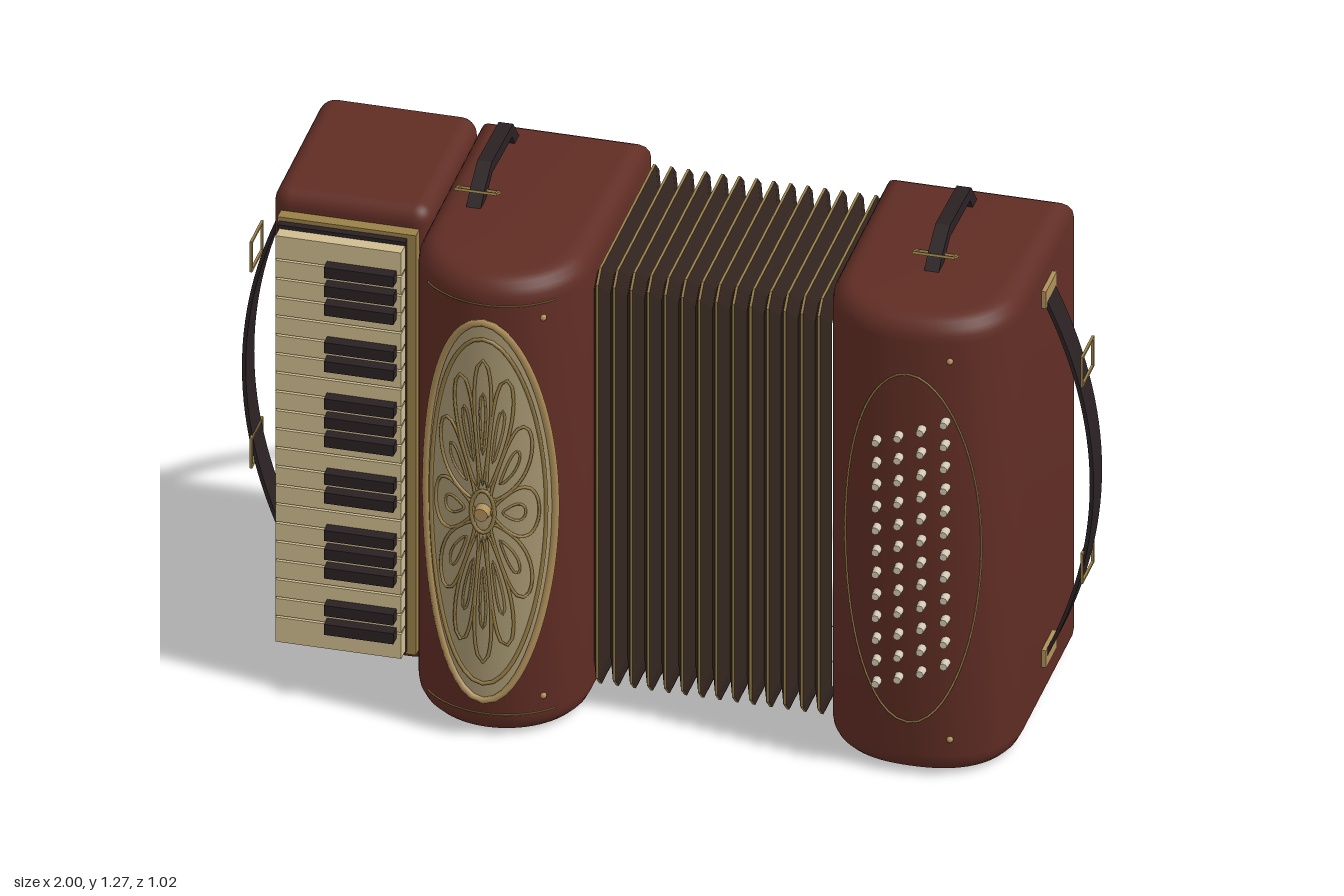
import * as THREE from 'three';
import { toCreasedNormals } from 'three/addons/utils/BufferGeometryUtils.js';
import { RoundedBoxGeometry } from 'three/addons/geometries/RoundedBoxGeometry.js';

const mat = (name, color, side = THREE.FrontSide) => {
  const m = new THREE.MeshStandardMaterial({ color, side });
  m.name = name;
  return m;
};

export function createModel() {
  const root = new THREE.Group();
  const wood = mat('redBrownCase', 0x602d24);
  const gold = mat('brass', 0x9a8048);
  const plate = mat('paleBrass', 0xb0905a);
  const cream = mat('cream', 0xd0bd90);
  const pearl = mat('pearl', 0xd2c8b4);
  const black = mat('blackLeather', 0x2a2123);
  const cloth = mat('bellowsCloth', 0x33251f);
  const mesh = (name, geo, m, x = 0, y = 0, z = 0, parent = root) => {
    const o = new THREE.Mesh(geo, m);
    o.name = name;
    o.position.set(x, y, z);
    parent.add(o);
    return o;
  };
  const group = (name) => {
    const g = new THREE.Group();
    g.name = name;
    root.add(g);
    return g;
  };
  const box = (w, h, d) => new THREE.BoxGeometry(w, h, d);

  // Cases with a bowed front: straight sides to z0, then a superellipse
  const treble = { x: -0.312, w: 0.2, z0: 0.28, d: 0.2, n: 2 };
  const bass = { x: 0.66, w: 0.22, z0: 0.195, d: 0.2, n: 2.3 };
  const front = (c, x) => {
    const u = Math.min(1, Math.abs((x - c.x) / c.w));
    return c.z0 + c.d * Math.pow(1 - Math.pow(u, c.n), 1 / c.n);
  };
  const caseGeometry = (c) => {
    const s = new THREE.Shape();
    s.moveTo(c.x - c.w, 0.235);
    s.lineTo(c.x + c.w, 0.235);
    for (let i = 0; i <= 36; i++) {
      const x = c.x + c.w * Math.cos((i / 36) * Math.PI);
      s.lineTo(x, -front(c, x));
    }
    const b = 0.055;
    const g = new THREE.ExtrudeGeometry(s, {
      depth: 1.2 - 2 * b, bevelThickness: b, bevelSize: b, bevelOffset: -b, bevelSegments: 5,
    });
    g.rotateX(-Math.PI / 2).translate(0, b, 0);
    return toCreasedNormals(g, 0.6);
  };
  mesh('trebleCase', caseGeometry(treble), wood);
  mesh('bassCase', caseGeometry(bass), wood);
  mesh('keyboardCase', new RoundedBoxGeometry(0.37, 1.2, 0.45, 4, 0.04), wood, -0.697, 0.6, -0.01);

  // Bellows: chamfered rings lofted along x, with a brass strip on every peak
  const ring = (x, inset) => {
    const hy = 0.55 - inset, hz = 0.265 - inset, c = 0.03;
    return [[-hz, c - hy], [-hz, hy - c], [c - hz, hy], [hz - c, hy],
      [hz, hy - c], [hz, c - hy], [hz - c, -hy], [c - hz, -hy]]
      .map(([z, y]) => [x, y + 0.6, z + 0.035]);
  };
  const loft = (a, b, out) => {
    for (let j = 0; j < 8; j++) {
      const k = (j + 1) % 8;
      out.push(...b[j], ...a[j], ...a[k], ...b[j], ...a[k], ...b[k]);
    }
  };
  const fromPositions = (p) => {
    const g = new THREE.BufferGeometry();
    g.setAttribute('position', new THREE.Float32BufferAttribute(p, 3));
    g.computeVertexNormals();
    return g;
  };
  const folds = [], rims = [];
  const pleats = 14, pitch = 0.56 / pleats, inset = 0.042, t = 0.003;
  for (let i = 0; i < pleats; i++) {
    const x = -0.115 + i * pitch, mid = x + pitch / 2;
    loft(ring(x, inset), ring(mid - t, 0), folds);
    loft(ring(mid - t, 0), ring(mid + t, 0), rims);
    loft(ring(mid + t, 0), ring(x + pitch, inset), folds);
  }
  mesh('bellowsFolds', fromPositions(folds), cloth);
  mesh('bellowsRims', fromPositions(rims), gold);

  // Keyboard: brass tray, dark bed, white and black keys
  const keyboard = group('keyboard');
  mesh('keyTray', box(0.325, 1.11, 0.03), gold, -0.697, 0.597, 0.232, keyboard);
  mesh('keyBed', box(0.3, 1.09, 0.02), black, -0.705, 0.597, 0.255, keyboard);
  const step = 0.0497, firstSplit = 1.07;
  for (let i = 0; i <= 20; i++) {
    const top = i === 0 ? 1.135 : firstSplit - (i - 1) * step;
    const bottom = i === 20 ? 0.056 : firstSplit - i * step;
    mesh('whiteKey', box(0.295, top - bottom - 0.005, 0.035), cream,
      -0.703, (top + bottom) / 2, 0.28, keyboard);
    if (i < 20 && ![3, 6].includes(i % 7)) {
      mesh('blackKey', box(0.163, 0.028, 0.034), black, -0.648, bottom, 0.309, keyboard);
    }
  }

  // Wires and ovals that follow a bowed front
  const wire = (name, c, pts, radius, off, m, parent, closed = true) => {
    const curve = new THREE.CatmullRomCurve3(
      pts.map(([x, y]) => new THREE.Vector3(x, y, front(c, x) + off)), closed);
    return mesh(name, new THREE.TubeGeometry(curve, pts.length * 2, radius, 5, closed), m, 0, 0, 0, parent);
  };
  const oval = (cx, cy, rx, ry, n = 40) => Array.from({ length: n }, (_, i) => {
    const a = (i / n) * Math.PI * 2;
    return [cx + rx * Math.cos(a), cy + ry * Math.sin(a)];
  });

  // Oval grille with a flower of brass wire
  const grille = group('grille');
  const gx = treble.x, gy = 0.6, rx = 0.152, ry = 0.5;
  const disc = new THREE.RingGeometry(0.001, 1, 56, 10);
  const dp = disc.attributes.position;
  for (let i = 0; i < dp.count; i++) {
    const x = gx + dp.getX(i) * rx;
    dp.setXYZ(i, x, gy + dp.getY(i) * ry, front(treble, x) + 0.008);
  }
  disc.computeVertexNormals();
  mesh('grilleCloth', disc, mat('grilleCloth', 0xaa9a74, THREE.DoubleSide), 0, 0, 0, grille);
  wire('grilleRim', treble, oval(gx, gy, rx, ry), 0.009, 0.011, plate, grille);
  wire('grilleInnerRim', treble, oval(gx, gy, rx * 0.89, ry * 0.91), 0.005, 0.011, gold, grille);
  wire('flowerCentreRing', treble, oval(gx, gy, rx * 0.18, ry * 0.11, 16), 0.005, 0.012, gold, grille);
  const petal = (angle, r0, r1, width) => Array.from({ length: 14 }, (_, i) => {
    const a = (i / 14) * Math.PI * 2;
    const s = (1 - Math.cos(a)) / 2;
    const along = r0 + (r1 - r0) * s, across = width * Math.sin(a) * (0.4 + 0.8 * s);
    return [gx + rx * (along * Math.cos(angle) - across * Math.sin(angle)),
      gy + ry * (along * Math.sin(angle) + across * Math.cos(angle))];
  });
  for (let i = 0; i < 12; i++) {
    const a = (i / 12) * Math.PI * 2;
    wire('petal', treble, petal(a, 0.14, 0.8, 0.15), 0.004, 0.011, gold, grille);
    wire('petalVein', treble, petal(a, 0.3, 0.62, 0.05), 0.003, 0.01, gold, grille);
  }
  const boss = mesh('grilleBoss', new THREE.CylinderGeometry(0.016, 0.02, 0.03, 20), plate, gx, gy, 0.495, grille);
  boss.rotation.x = Math.PI / 2;

  // Trim lines across the treble front
  for (const y of [0.06, 1.14]) {
    const pts = Array.from({ length: 15 }, (_, i) => [gx - 0.15 + i * 0.3 / 14, y]);
    wire('trebleTrim', treble, pts, 0.002, 0.002, gold, root, false);
  }

  // Bass buttons in slanted columns inside an oval line
  const buttons = group('bassButtons');
  wire('buttonOval', bass, oval(bass.x, 0.6, 0.16, 0.46), 0.0025, 0.002, gold, buttons);
  const buttonGeo = new THREE.CylinderGeometry(0.009, 0.011, 0.03, 10).rotateX(Math.PI / 2);
  for (let c = 0; c < 4; c++) {
    for (let r = 0; r < 12; r++) {
      const x = 0.587 + c * 0.053;
      mesh('bassButton', buttonGeo, pearl, x, 0.235 + r * 0.058 + c * 0.023, front(bass, x) + 0.008, buttons);
    }
  }
  // Rivets near the case corners
  const rivetGeo = new THREE.SphereGeometry(0.008, 10, 6);
  for (const [c, x] of [[treble, -0.185], [bass, 0.755]]) {
    for (const y of [0.1, 1.1]) mesh('rivet', rivetGeo, plate, x, y, front(c, x));
  }

  // Flat band of given thickness and width along a 2D path
  const band = (pts, thick, width) => {
    const left = [], right = [];
    pts.forEach((p, i) => {
      const a = pts[Math.max(0, i - 1)], b = pts[Math.min(pts.length - 1, i + 1)];
      const n = new THREE.Vector2(a.y - b.y, b.x - a.x).normalize().multiplyScalar(thick / 2);
      left.push(p.clone().add(n));
      right.unshift(p.clone().sub(n));
    });
    const g = new THREE.ExtrudeGeometry(new THREE.Shape([...left, ...right]),
      { depth: width, bevelEnabled: false });
    return toCreasedNormals(g.translate(0, 0, -width / 2), 0.5);
  };
  const bow = (x0, reach, y0, y1) => new THREE.QuadraticBezierCurve(
    new THREE.Vector2(x0, y0), new THREE.Vector2(x0 + reach * 2, (y0 + y1) / 2),
    new THREE.Vector2(x0, y1)).getPoints(32);
  const frame = (w, h, bar, depth) => {
    const rect = (S, a, b) => new S([[-a, -b], [a, -b], [a, b], [-a, b]].map(([x, y]) => new THREE.Vector2(x, y)));
    const s = rect(THREE.Shape, w / 2, h / 2);
    s.holes.push(rect(THREE.Path, w / 2 - bar, h / 2 - bar));
    return new THREE.ExtrudeGeometry(s, { depth, bevelEnabled: false }).translate(0, 0, -depth / 2);
  };

  // Hand straps at both ends, with end plates and buckles
  const sideStrap = band(bow(0.876, 0.119, 0.12, 1.1), 0.009, 0.074);
  for (const side of [1, -1]) {
    const g = group(side > 0 ? 'leftHandStrap' : 'rightHandStrap');
    g.rotation.y = side > 0 ? 0 : Math.PI;
    mesh('handStrap', sideStrap, black, 0, 0, 0, g);
    for (const y of [0.138, 1.088]) mesh('strapPlate', box(0.018, 0.045, 0.094), plate, 0.882, y, 0, g);
    for (const y of [0.393, 0.912]) {
      mesh('strapBuckle', frame(0.1, 0.08, 0.006, 0.006), gold, 0.975, y, 0, g).rotation.y = Math.PI / 2;
    }
  }

  // Shoulder straps behind and carrying handles on top of the two main cases
  const backStrap = band(bow(0.23, 0.272, 0.13, 1.095), 0.01, 0.056).rotateY(Math.PI / 2);
  const handlePath = [[-0.17, 1.18], [-0.135, 1.213], [-0.072, 1.252], [0.108, 1.245], [0.155, 1.185]]
    .map(([u, y]) => new THREE.Vector2(u, y));
  const handle = band(handlePath, 0.031, 0.034).rotateY(Math.PI / 2);
  for (const x of [-0.42, 0.655]) {
    mesh('shoulderStrap', backStrap, black, x);
    mesh('carryHandle', handle, black, x);
    const b = mesh('handleBuckle', frame(0.1, 0.045, 0.007, 0.006), gold, x, 1.225, 0.135);
    b.rotation.x = -Math.PI / 2 - 0.4;
  }
  return root;
}
